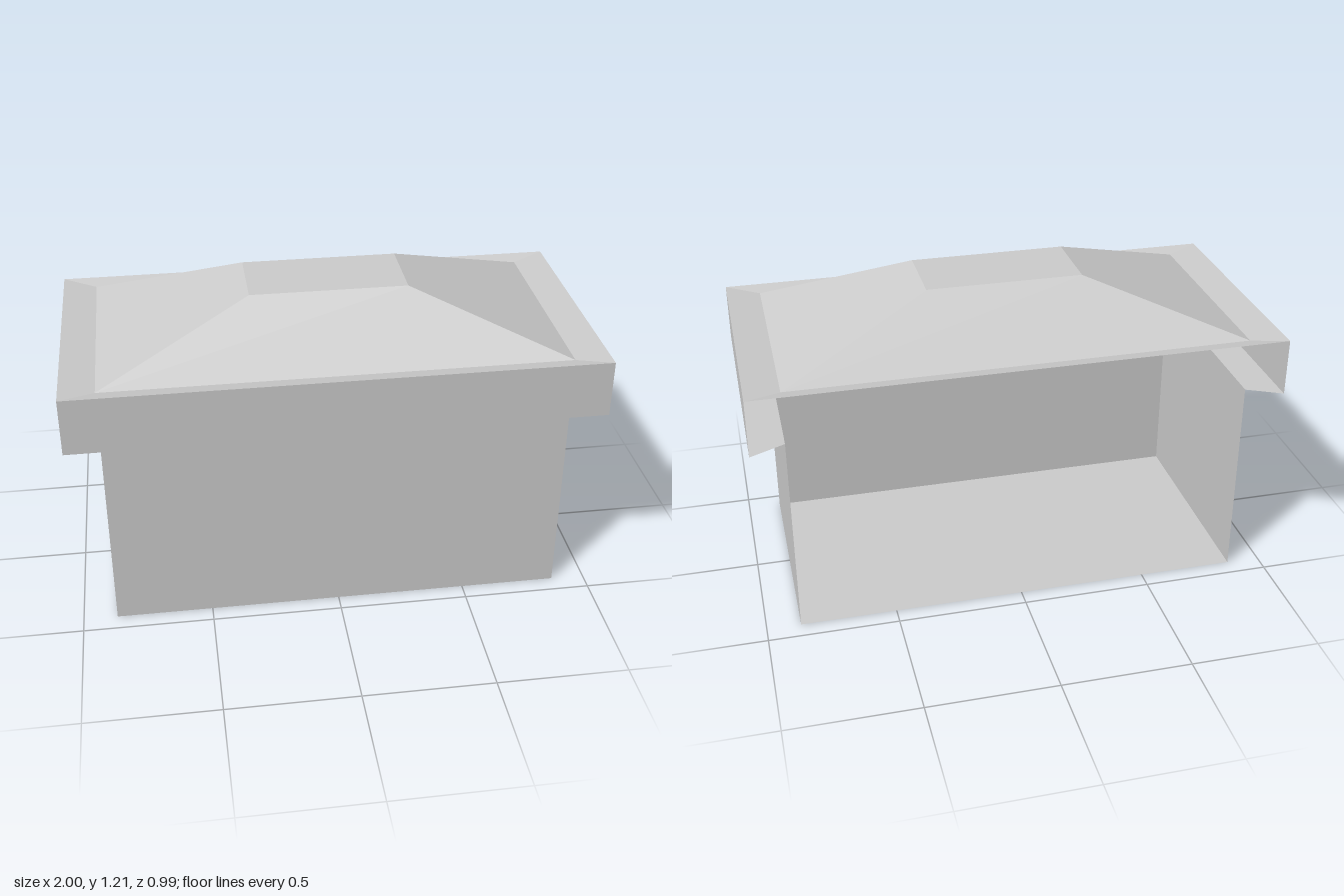
import * as THREE from 'three';

// Corners of a horizontal rectangle, anticlockwise seen from above, starting front right
const rect = (x, y, z) => [[-x, y, z], [x, y, z], [x, y, -z], [-x, y, -z]];

// Flat-shaded sheet made from four-cornered faces
function sheet(name, quads, material) {
  const points = quads.flatMap(([a, b, c, d]) => [a, b, c, a, c, d]).flat();
  const geometry = new THREE.BufferGeometry();
  geometry.setAttribute('position', new THREE.Float32BufferAttribute(points, 3));
  geometry.computeVertexNormals();
  const mesh = new THREE.Mesh(geometry, material);
  mesh.name = name;
  return mesh;
}

// Faces joining two rectangles on the chosen sides: 0 front, 1 left, 2 back, 3 right
function band(lower, upper, sides) {
  return sides.map((i) => {
    const j = (i + 1) % 4;
    return [lower[i], lower[j], upper[j], upper[i]];
  });
}

export function createModel() {
  const grey = new THREE.MeshStandardMaterial({ color: 0xcccccc, side: THREE.DoubleSide });
  grey.name = 'light grey';

  const base = rect(0.87, 0, 0.432);
  const bodyTop = rect(0.87, 0.8, 0.432);
  const eaveBottom = rect(1, 0.8, 0.496);
  const eaveTop = rect(1, 1.02, 0.496);
  const roofFoot = rect(0.87, 1.007, 0.432);
  const roofTop = rect(0.297, 1.21, 0.145);

  const openBack = [0, 1, 3];
  const allRound = [0, 1, 2, 3];

  const model = new THREE.Group();
  model.name = 'hollowBuilding';
  model.add(
    sheet('floor', [[...base].reverse()], grey),
    // The walls, ledge and fascia leave the back open
    sheet('walls', band(base, bodyTop, openBack), grey),
    sheet('eaveLedge', band(bodyTop, eaveBottom, openBack), grey),
    sheet('fascia', band(eaveBottom, eaveTop, openBack), grey),
    // The gutter dips slightly towards the foot of the roof
    sheet('gutter', band(eaveTop, roofFoot, allRound), grey),
    sheet('roofSlopes', band(roofFoot, roofTop, allRound), grey),
    sheet('roofCap', [roofTop], grey),
  );
  return model;
}
